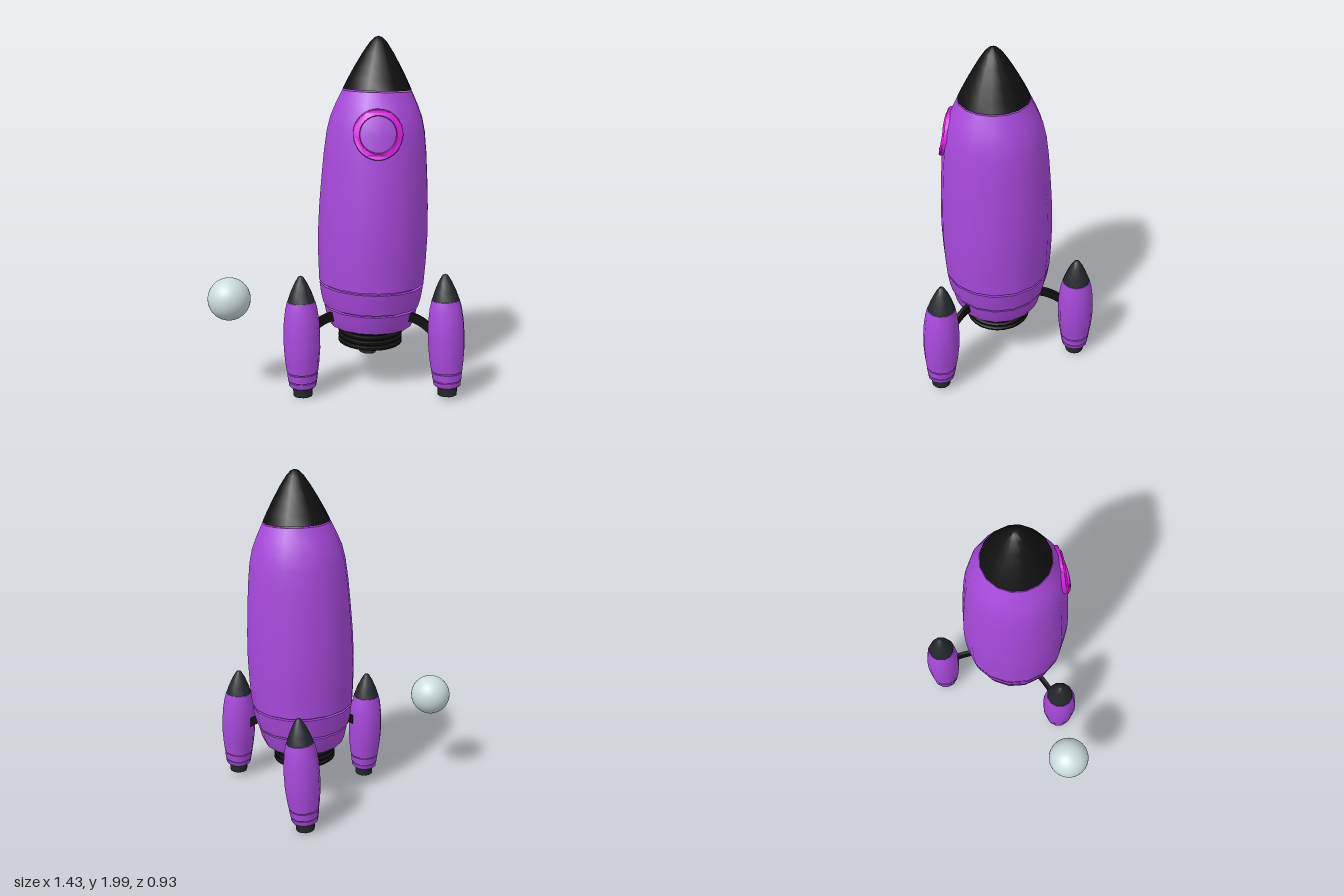
import * as THREE from 'three';
import { toCreasedNormals } from 'three/addons/utils/BufferGeometryUtils.js';

const mat = (color) => new THREE.MeshStandardMaterial({ color, side: THREE.DoubleSide });
const purple = mat(0xa849dc);
const black = mat(0x101010);
const charcoal = mat(0x23282b);
const magenta = mat(0xda1fe0);
const pale = mat(0xccdcde);

const SIDES = 16;

function add(parent, name, geometry, material) {
  const mesh = new THREE.Mesh(geometry, material);
  mesh.name = name;
  parent.add(mesh);
  return mesh;
}

// Turned part from [radius, height] pairs, listed bottom to top
function turned(profile, sides = SIDES) {
  const g = new THREE.LatheGeometry(profile.map(([r, y]) => new THREE.Vector2(r, y)), sides);
  g.rotateY(0.09);
  return toCreasedNormals(g, 0.7);
}

const HULL = [[0.303, 0.62], [0.311, 0.75], [0.315, 0.9], [0.311, 1.05], [0.302, 1.2],
  [0.29, 1.36], [0.276, 1.48], [0.258, 1.56], [0.23, 1.63], [0.194, 1.705]];

// Hull radius at a given height
function hullRadius(y) {
  for (let i = 1; i < HULL.length; i++) {
    const [r0, y0] = HULL[i - 1], [r1, y1] = HULL[i];
    if (y <= y1) return r0 + (r1 - r0) * (y - y0) / (y1 - y0);
  }
  return HULL[HULL.length - 1][0];
}

// Flat ring bent onto the front of the hull
function windowFrame() {
  const ring = new THREE.Shape().absarc(0, 0, 0.13, 0, Math.PI * 2);
  ring.holes.push(new THREE.Path().absarc(0, 0, 0.101, 0, Math.PI * 2, true));
  const g = new THREE.ExtrudeGeometry(ring, {
    depth: 0.03, curveSegments: 24, bevelEnabled: true,
    bevelSize: 0.004, bevelThickness: 0.004, bevelSegments: 1,
  });
  const p = g.attributes.position;
  for (let i = 0; i < p.count; i++) {
    const x = p.getX(i), y = p.getY(i) + 1.49;
    const r = hullRadius(y);
    p.setXYZ(i, x, y, Math.sqrt(r * r - x * x) + p.getZ(i) - 0.018);
  }
  g.computeVertexNormals();
  return toCreasedNormals(g, 0.6);
}

function createHull() {
  const hull = new THREE.Group();
  hull.name = 'mainRocket';
  add(hull, 'noseCone', turned([[0, 1.712], [0.192, 1.712], [0.165, 1.768], [0.13, 1.834],
    [0.086, 1.91], [0.047, 1.968], [0.022, 1.992], [0, 2]]), black);
  add(hull, 'hull', turned([[0.27, 0.62], ...HULL, [0, 1.705]]), purple);
  add(hull, 'upperBand', turned([[0.24, 0.485], [0.277, 0.485], [0.291, 0.54], [0.301, 0.607], [0.27, 0.607]]), purple);
  add(hull, 'lowerBand', turned([[0, 0.365], [0.238, 0.365], [0.256, 0.41], [0.27, 0.472], [0.24, 0.472]]), purple);
  add(hull, 'grooveCore', turned([[0.245, 0.46], [0.255, 0.5], [0.28, 0.6], [0.28, 0.63]]), purple);
  add(hull, 'windowFrame', windowFrame(), magenta);

  // Ribbed engine nozzle with a hollow underside
  const ribs = [[0, 0.33], [0.12, 0.3], [0.155, 0.248]];
  for (let i = 0; i < 4; i++) {
    const y = 0.248 + i * 0.03;
    ribs.push([0.176, y], [0.185, y + 0.006], [0.185, y + 0.016], [0.176, y + 0.022],
      [0.158, y + 0.022], [0.158, y + 0.03]);
  }
  add(hull, 'engineNozzle', turned(ribs, 24), black);
  hull.position.set(0.19, 0, 0.1);
  hull.rotation.z = -0.02;
  return hull;
}

// Side booster standing on y = 0
function createBooster(name) {
  const b = new THREE.Group();
  b.name = name;
  add(b, 'boosterNose', turned([[0, 0.546], [0.077, 0.546], [0.06, 0.596], [0.037, 0.648],
    [0.015, 0.685], [0, 0.692]], 12), charcoal);
  add(b, 'boosterBody', turned([[0.08, 0.14], [0.088, 0.14], [0.095, 0.19], [0.102, 0.27], [0.103, 0.35],
    [0.099, 0.43], [0.09, 0.5], [0.079, 0.545], [0, 0.545]], 12), purple);
  add(b, 'boosterBand', turned([[0.074, 0.09], [0.082, 0.09], [0.087, 0.133], [0.079, 0.133], [0.079, 0.145]], 12), purple);
  add(b, 'boosterBase', turned([[0, 0.05], [0.066, 0.05], [0.077, 0.06], [0.08, 0.083], [0.074, 0.083], [0.074, 0.095]], 12), purple);
  add(b, 'boosterNozzle', turned([[0, 0.03], [0.04, 0.02], [0.046, 0], [0.054, 0], [0.056, 0.05], [0, 0.05]], 12), charcoal);
  return b;
}

// Flat arched arm reaching outward along +x from the rocket axis
function strutGeometry() {
  const s = new THREE.Shape();
  s.moveTo(0.2, 0.462);
  s.lineTo(0.27, 0.462);
  s.quadraticCurveTo(0.34, 0.455, 0.4, 0.405);
  s.lineTo(0.4, 0.345);
  s.quadraticCurveTo(0.34, 0.4, 0.27, 0.41);
  s.lineTo(0.2, 0.41);
  const g = new THREE.ExtrudeGeometry(s, { depth: 0.022, bevelEnabled: false, curveSegments: 8 });
  g.translate(0, 0, -0.011);
  return toCreasedNormals(g, 0.6);
}

export function createModel() {
  const model = new THREE.Group();
  model.name = 'rocketAndMoon';
  model.add(createHull());

  // Boosters: base position and lean, each joined to the hull by a strut
  const layout = [
    ['rightBooster', [-0.19, 0.008, 0.335], [-0.2, 0.31]],
    ['leftBooster', [0.62, 0.03, 0.375], [0.595, 0.348]],
    ['rearBooster', [0.2, 0.01, -0.368], [0.232, -0.364]],
  ];
  const strut = strutGeometry();
  for (const [name, base, tip] of layout) {
    const b = createBooster(name);
    b.position.set(...base);
    const lean = new THREE.Vector3(tip[0] - base[0], 0.692, tip[1] - base[2]).normalize();
    b.quaternion.setFromUnitVectors(new THREE.Vector3(0, 1, 0), lean);
    model.add(b);

    const arm = add(model, name + 'Strut', strut, black);
    arm.position.set(0.2, 0, 0.1);
    arm.rotation.y = -Math.atan2((base[2] + tip[1]) / 2 - 0.1, (base[0] + tip[0]) / 2 - 0.2);
  }

  const moon = add(model, 'moon', new THREE.SphereGeometry(0.12, 32, 20), pale);
  moon.position.set(-0.6, 0.56, 0.29);
  return model;
}
